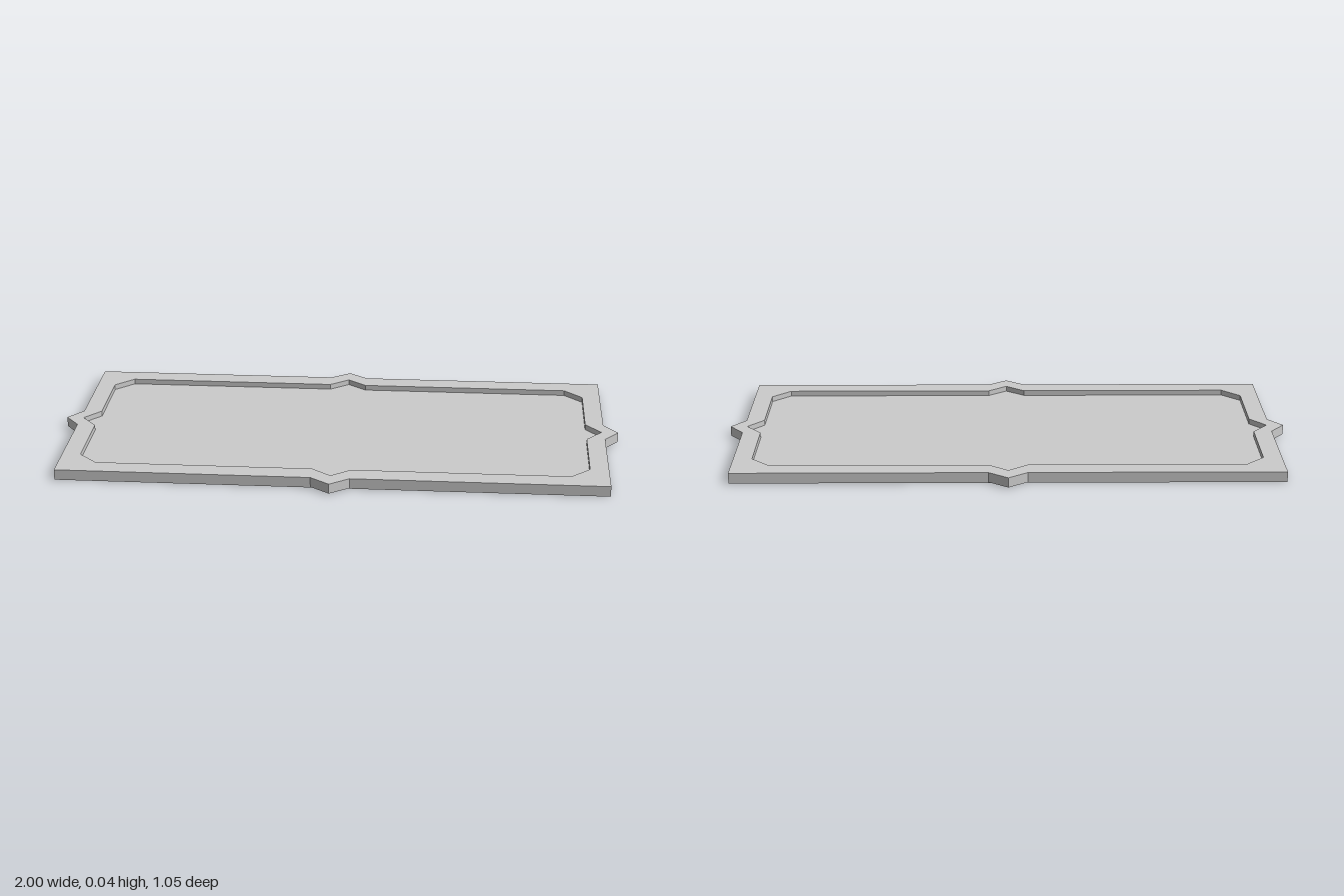
import * as THREE from 'three';

const HEIGHT = 0.037, FLOOR = 0.018, BASE = 0.002;

// Mirrors one quadrant's points (from the +x tip to the +y tip) into a closed outline.
function outline(quadrant) {
  const points = [];
  const signs = [[1, 1], [-1, 1], [-1, -1], [1, -1]];
  signs.forEach(([sx, sy], i) => {
    const run = i % 2 ? [...quadrant].reverse() : quadrant;
    run.slice(0, -1).forEach(([x, y]) => points.push(new THREE.Vector2(sx * x, sy * y)));
  });
  return points;
}

// Extrudes a plan shape upwards between two heights.
function slab(name, shape, bottom, top, material) {
  const geometry = new THREE.ExtrudeGeometry(shape, { depth: top - bottom, bevelEnabled: false });
  geometry.rotateX(-Math.PI / 2);
  geometry.translate(0, bottom, 0);
  const mesh = new THREE.Mesh(geometry, material);
  mesh.name = name;
  return mesh;
}

export function createModel() {
  const group = new THREE.Group();
  group.name = 'framedPanel';
  const material = new THREE.MeshStandardMaterial({ color: 0xcccccc, flatShading: true });

  // Rectangle with a pointed tip in the middle of each side
  const outer = outline([[1, 0], [0.95, 0.065], [0.95, 0.473], [0.067, 0.473], [0, 0.523]]);
  // Recess follows the tips and cuts off the corners
  const inner = outline([[0.94, 0], [0.885, 0.067], [0.885, 0.333], [0.82, 0.398], [0.067, 0.398], [0, 0.451]]);

  // Raised border around the recess
  const border = new THREE.Shape(outer);
  border.holes.push(new THREE.Path(inner));
  group.add(slab('border', border, BASE, HEIGHT, material));

  // Sunken floor inside the border
  group.add(slab('floor', new THREE.Shape(inner), BASE, FLOOR, material));

  // Thin rectangular backing underneath
  const backing = new THREE.Mesh(new THREE.BoxGeometry(1.9, BASE, 0.946), material);
  backing.position.y = BASE / 2;
  backing.name = 'backing';
  group.add(backing);

  return group;
}
